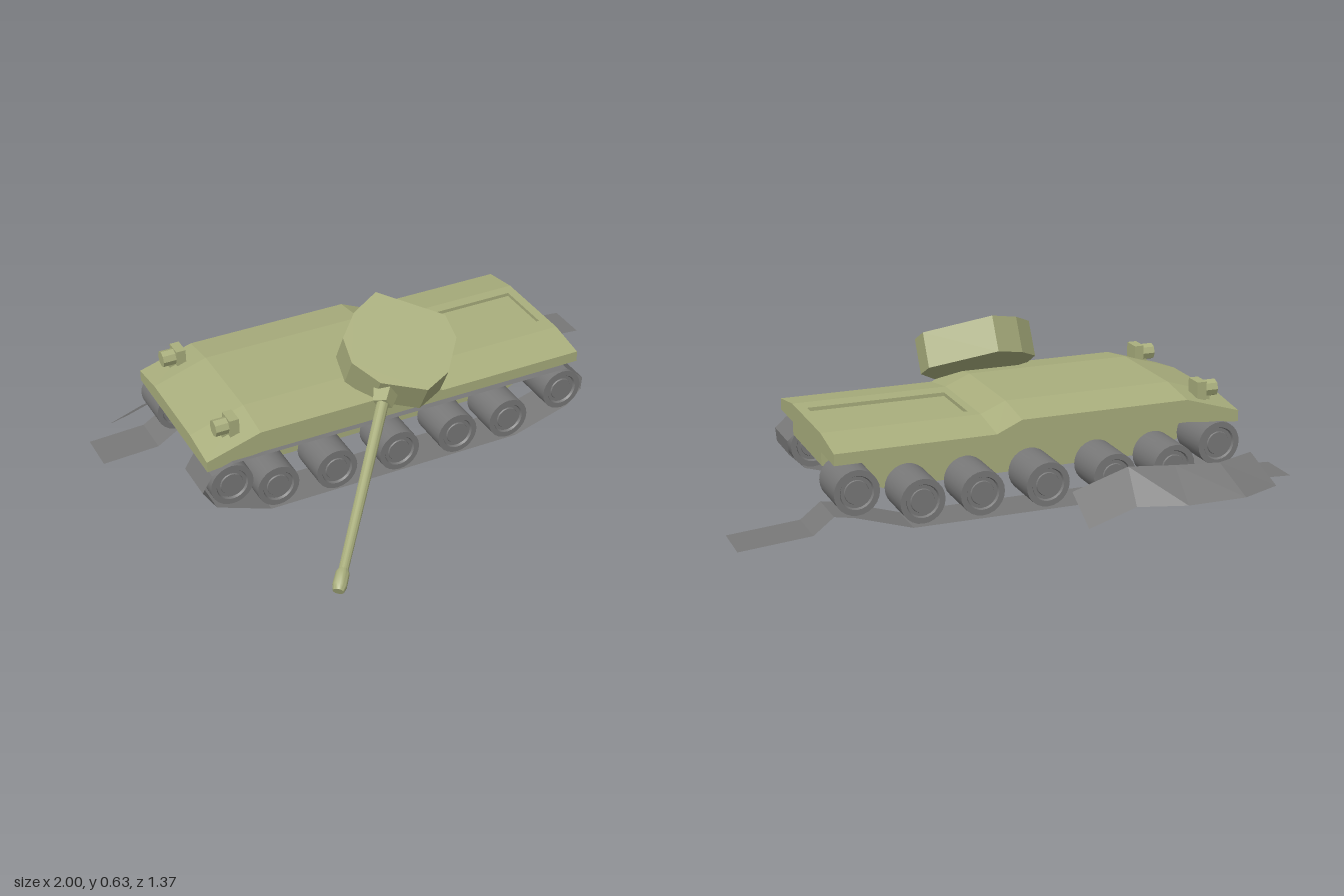
import * as THREE from 'three';
import { toCreasedNormals } from 'three/addons/utils/BufferGeometryUtils.js';

const green = new THREE.MeshStandardMaterial({ color: 0xa9ae7d, flatShading: true });
const greenSmooth = new THREE.MeshStandardMaterial({ color: 0xa9ae7d });
const grey = new THREE.MeshStandardMaterial({ color: 0x787878 });
const trackGrey = new THREE.MeshStandardMaterial({ color: 0x787878, flatShading: true, side: THREE.DoubleSide });

const V = (x, y, z) => new THREE.Vector3(x, y, z);

function mesh(name, geometry, material, parent) {
  const m = new THREE.Mesh(geometry, material);
  m.name = name;
  parent.add(m);
  return m;
}

function fromTriangles(points) {
  const g = new THREE.BufferGeometry().setFromPoints(points);
  g.computeVertexNormals();
  return g;
}

// Thin strip between two matching edges
function ribbon(edgeA, edgeB) {
  const tri = [];
  for (let i = 0; i < edgeA.length - 1; i++) {
    tri.push(edgeA[i], edgeB[i], edgeB[i + 1], edgeA[i], edgeB[i + 1], edgeA[i + 1]);
  }
  return fromTriangles(tri);
}

// Track strip of constant width following an x-y path
function trackStrip(path, z0, z1) {
  return ribbon(path.map(([x, y]) => V(x, y, z0)), path.map(([x, y]) => V(x, y, z1)));
}

function polygon(points) {
  return new THREE.Shape(points.map(([x, y]) => new THREE.Vector2(x, y)));
}

// Upper hull: lofted sections of x, bottom, side edge and deck height
function upperHullGeometry() {
  const rings = [
    [-0.79, 0.27, 0.31, 0.33], [-0.59, 0.29, 0.37, 0.393], [0.02, 0.29, 0.37, 0.393],
    [0.11, 0.29, 0.33, 0.355], [0.67, 0.29, 0.33, 0.355],
  ].map(([x, b, s, c]) => [
    V(x, b, 0.11), V(x, s, 0.11), V(x, c, -0.04), V(x, c, -0.38), V(x, s, -0.53), V(x, b, -0.53),
  ]);
  const tri = [];
  for (let i = 0; i < rings.length - 1; i++) {
    for (let j = 0; j < 6; j++) {
      if (i === 3 && j === 2) continue; // left open for the framed rear deck
      const k = (j + 1) % 6;
      const a = rings[i][j], b = rings[i + 1][j], c = rings[i + 1][k], d = rings[i][k];
      tri.push(a, b, c, a, c, d);
    }
  }
  const front = rings[0], rear = rings[4];
  for (let j = 1; j < 5; j++) {
    tri.push(front[0], front[j], front[j + 1], rear[0], rear[j + 1], rear[j]);
  }
  return fromTriangles(tri);
}

function buildHull(parent) {
  const hull = new THREE.Group();
  hull.name = 'hull';
  parent.add(hull);
  mesh('upperHull', upperHullGeometry(), green, hull);

  const side = polygon([[-0.789, 0.31], [-0.789, 0.27], [-0.56, 0.137], [0.46, 0.137], [0.669, 0.243], [0.669, 0.31]]);
  mesh('lowerHull', new THREE.ExtrudeGeometry(side, { depth: 0.34, bevelEnabled: false }), green, hull)
    .position.z = -0.38;

  // Rear deck with a recessed panel (shape y maps to -z)
  const deck = polygon([[0.11, 0.04], [0.67, 0.04], [0.67, 0.38], [0.11, 0.38]]);
  deck.holes.push(polygon([[0.14, 0.105], [0.14, 0.335], [0.635, 0.335], [0.635, 0.105]]));
  const deckMesh = mesh('rearDeck', new THREE.ExtrudeGeometry(deck, { depth: 0.02, bevelEnabled: false }), green, hull);
  deckMesh.rotation.x = -Math.PI / 2;
  deckMesh.position.y = 0.335;
  mesh('deckPanel', new THREE.BoxGeometry(0.51, 0.01, 0.25), green, hull).position.set(0.3875, 0.337, -0.22);

  // Headlights
  for (const z of [0.03, -0.46]) {
    const lamp = new THREE.Group();
    lamp.name = 'headlight';
    lamp.position.set(-0.665, 0.382, z);
    mesh('lampHousing', new THREE.BoxGeometry(0.035, 0.066, 0.066), green, lamp);
    const lens = mesh('lampLens', new THREE.CylinderGeometry(0.03, 0.03, 0.05, 8), green, lamp);
    lens.rotation.z = Math.PI / 2;
    lens.position.x = -0.04;
    mesh('lampFoot', new THREE.BoxGeometry(0.04, 0.04, 0.03), green, lamp).position.set(-0.02, -0.03, 0);
    hull.add(lamp);
  }
}

function buildRunningGear(parent) {
  // Wheel: half profile with a recessed ring, mirrored to both faces
  const half = [[0.078, 0.0825], [0.058, 0.0825], [0.054, 0.074], [0.042, 0.074], [0.04, 0.079], [0, 0.079]];
  const profile = [
    ...half.slice().reverse().map(([r, y]) => new THREE.Vector2(r, -y)),
    ...half.map(([r, y]) => new THREE.Vector2(r, y)),
  ];
  const wheel = toCreasedNormals(new THREE.LatheGeometry(profile, 24).rotateX(Math.PI / 2), 0.5);
  const centres = [[-0.71, 0.203], [-0.54, 0.14], [-0.316, 0.136], [-0.07, 0.136], [0.165, 0.136], [0.375, 0.136], [0.6, 0.195]];
  for (const [name, z] of [['leftSideWheel', 0.045], ['rightSideWheel', -0.463]]) {
    for (const [x, y] of centres) mesh(name, wheel, grey, parent).position.set(x, y, z);
  }

  // Intact track loop on the near side
  mesh('intactTrack', trackStrip([
    [-0.7, 0.287], [-0.78, 0.26], [-0.818, 0.2], [-0.77, 0.125], [-0.57, 0.05], [0.41, 0.05],
    [0.63, 0.115], [0.685, 0.17], [0.69, 0.22], [0.62, 0.28], [-0.7, 0.287],
  ], -0.037, 0.125), trackGrey, parent);

  // Broken track lying open under the far wheels
  mesh('brokenTrack', trackStrip([
    [-1, 0.05], [-0.79, 0.06], [-0.7, 0.115], [-0.57, 0.05], [0.41, 0.05],
    [0.61, 0.112], [0.68, 0.125], [0.75, 0.07], [1, 0.05],
  ], -0.55, -0.395), trackGrey, parent);

  // Torn-off track piece leaning beside the hull
  const outer = [V(-0.9, 0.05, -0.625), V(-0.745, 0.05, -0.69), V(-0.525, 0.05, -0.69), V(-0.355, 0.05, -0.64), V(-0.175, 0, -0.65)];
  const inner = [V(-0.855, 0.145, -0.515), V(-0.7, 0.145, -0.575), V(-0.53, 0.155, -0.57), V(-0.355, 0.17, -0.565), V(-0.145, 0.11, -0.575)];
  mesh('looseTrack', ribbon(outer, inner), trackGrey, parent);
}

function buildTurret(parent) {
  const turret = new THREE.Group();
  turret.name = 'turret';
  parent.add(turret);

  // Tilted many-sided prism; plan is given in x-z on its sloping roof
  const tilt = 0.5, thickness = 0.128;
  const plan = [[-0.02, -0.155], [0.185, -0.016], [0.185, 0.07], [0.096, 0.176], [-0.005, 0.215],
    [-0.155, 0.15], [-0.22, 0.06], [-0.21, -0.03], [-0.13, -0.105]];
  const roof = polygon(plan.map(([x, z]) => [x, -z / Math.cos(tilt)]));
  const body = mesh('turretBody', new THREE.ExtrudeGeometry(roof, { depth: thickness, bevelEnabled: false })
    .translate(0, 0, -thickness), green, turret);
  body.rotation.x = -Math.PI / 2 + tilt;
  body.position.y = 0.545;

  // Gun: turned profile along its own axis
  const base = V(-0.105, 0.425, 0.105), tip = V(-0.572, 0.082, 0.668);
  const length = base.distanceTo(tip);
  const gun = new THREE.Group();
  gun.name = 'gun';
  gun.position.copy(base);
  gun.quaternion.setFromUnitVectors(V(0, 1, 0), tip.clone().sub(base).normalize());
  const profile = [[0, 0], [0.022, 0], [0.017, length - 0.08], [0.024, length - 0.065],
    [0.025, length - 0.02], [0.019, length], [0, length]].map(([r, y]) => new THREE.Vector2(r, y));
  mesh('barrel', toCreasedNormals(new THREE.LatheGeometry(profile, 14), 0.6), greenSmooth, gun);
  const mantlet = mesh('mantlet', new THREE.CylinderGeometry(0.036, 0.052, 0.09, 4), green, gun);
  mantlet.position.y = 0.045;
  mantlet.rotation.y = 0.4;
  turret.add(gun);
}

export function createModel() {
  const model = new THREE.Group();
  model.name = 'wreckedTank';
  buildHull(model);
  buildRunningGear(model);
  buildTurret(model);
  return model;
}
